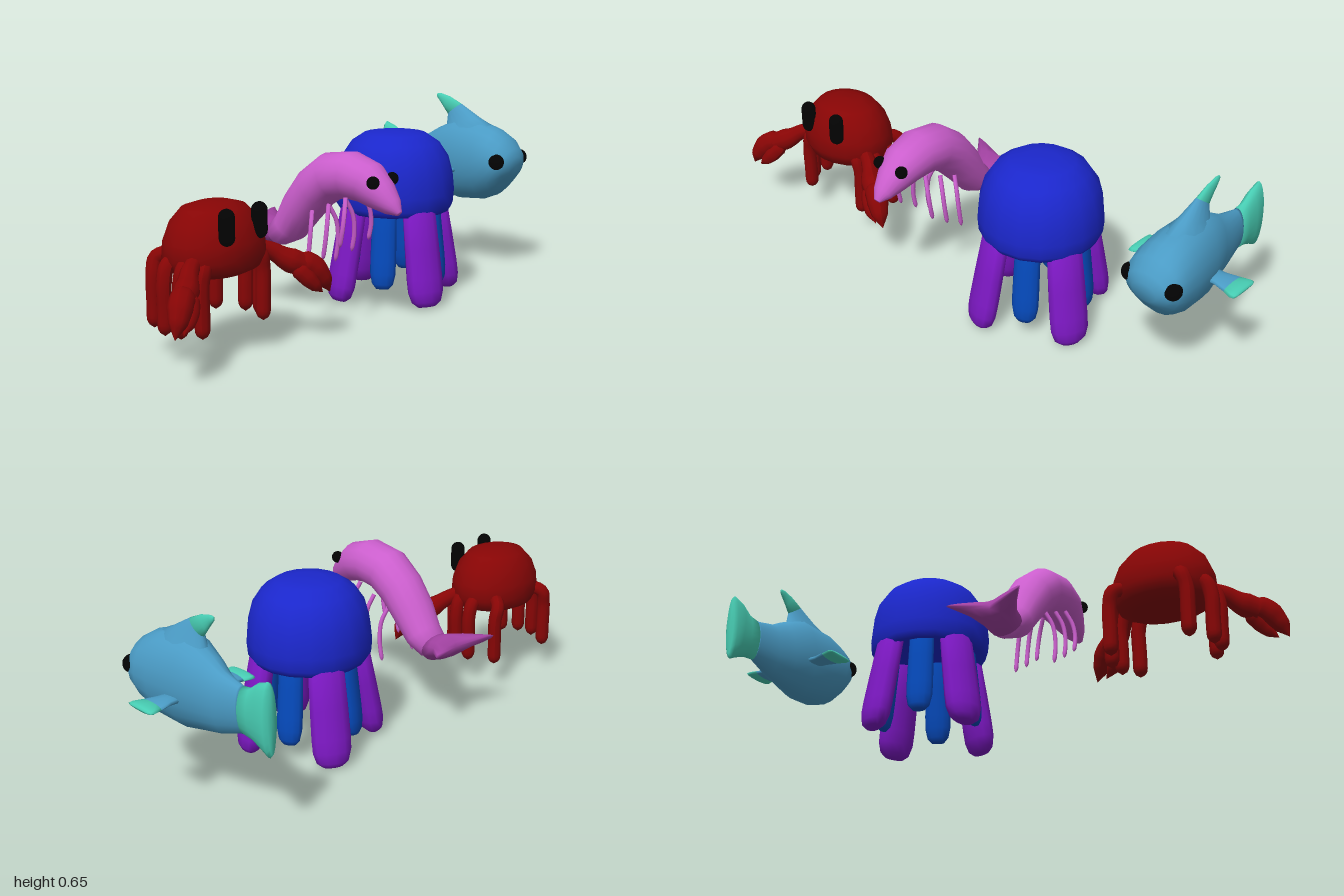
import * as THREE from 'three';

const mat = (name, color) => Object.assign(new THREE.MeshStandardMaterial({ color }), { name });
const red = mat('crab red', 0x870505), pink = mat('shrimp pink', 0xcb5ecd), plum = mat('shrimp tail plum', 0xa443a4);
const navy = mat('bell blue', 0x1b27cc), purple = mat('tentacle purple', 0x7d18c4), blue = mat('tentacle blue', 0x054abc);
const fishBlue = mat('fish blue', 0x4a9bc5), aqua = mat('fin aqua', 0x48ceb4), black = mat('eye black', 0x030303);

function add(parent, name, geo, material, x = 0, y = 0, z = 0) {
  const m = new THREE.Mesh(geo, material);
  m.name = name;
  m.position.set(x, y, z);
  parent.add(m);
  return m;
}

// Elliptical rings [y, z, halfWidth, halfDepth, lean] swept along a path in the yz plane.
// Rings stand square to the path unless a lean from the horizontal is given.
function loft(sections, n = 16) {
  const pos = [], idx = [], last = sections.length - 1;
  sections.forEach(([y, z, rx, rv, lean], i) => {
    const a = sections[Math.max(0, i - 1)], b = sections[Math.min(last, i + 1)];
    const tilt = lean ?? Math.atan2(a[1] - b[1], b[0] - a[0]);
    const uy = -Math.sin(tilt), uz = -Math.cos(tilt);
    for (let j = 0; j < n; j++) {
      const t = (j / n) * Math.PI * 2, s = Math.sin(t) * rv;
      pos.push(Math.cos(t) * rx, y + uy * s, z + uz * s);
      const k = (j + 1) % n, p = i * n;
      if (i < last) idx.push(p + j, p + k, p + n + j, p + k, p + n + k, p + n + j);
    }
  });
  // end caps
  const c = pos.length / 3, e = last * n;
  pos.push(0, sections[0][0], sections[0][1], 0, sections[last][0], sections[last][1]);
  for (let j = 0; j < n; j++) {
    const k = (j + 1) % n;
    idx.push(c, k, j, c + 1, e + j, e + k);
  }
  const g = new THREE.BufferGeometry();
  g.setAttribute('position', new THREE.Float32BufferAttribute(pos, 3));
  g.setIndex(idx);
  g.computeVertexNormals();
  return g;
}

// Curved limb whose thickness follows a list of radii
function limb(points, radii, segs = 16, sides = 10) {
  const curve = new THREE.CatmullRomCurve3(points.map(p => new THREE.Vector3(...p)));
  const g = new THREE.TubeGeometry(curve, segs, 1, sides, false);
  const p = g.attributes.position, v = new THREE.Vector3();
  for (let i = 0; i <= segs; i++) {
    const c = curve.getPointAt(i / segs), f = (i / segs) * (radii.length - 1);
    const k = Math.min(Math.floor(f), radii.length - 2);
    const r = THREE.MathUtils.lerp(radii[k], radii[k + 1], f - k);
    for (let j = 0; j <= sides; j++) {
      const q = i * (sides + 1) + j;
      v.fromBufferAttribute(p, q).sub(c).multiplyScalar(r).add(c);
      p.setXYZ(q, v.x, v.y, v.z);
    }
  }
  g.computeVertexNormals();
  return g;
}

// Even thickness with a rounded foot, one radius per ring of a 24-segment limb
const blunt = r => [...Array(22).fill(r), r * 0.95, r * 0.7, 0];
const lathe = (pts, n) => new THREE.LatheGeometry(pts.map(p => new THREE.Vector2(...p)), n);

function crab() {
  const g = new THREE.Group();
  g.name = 'crab';
  const shell = add(g, 'crabShell', lathe([[0, 0.26], [0.11, 0.262], [0.155, 0.28], [0.176, 0.32], [0.172, 0.37],
    [0.15, 0.425], [0.11, 0.467], [0.06, 0.481], [0, 0.484]], 20), red, 0, 0, 0.058);
  shell.scale.z = 0.82;
  for (const s of [1, -1]) {
    add(g, 'crabEye', new THREE.CapsuleGeometry(0.025, 0.064, 6, 14), black, s * 0.072, 0.428, 0.18);
    // walking legs
    for (const [x, z] of [[0.135, -0.07], [0.178, 0.02], [0.175, 0.085], [0.135, 0.135]]) {
      add(g, 'crabLeg', limb([[s * 0.09, 0.33, z * 0.6 + 0.02], [s * x * 0.9, 0.31, z], [s * x, 0.26, z],
        [s * x, 0.17, z], [s * x, 0.09, z]], blunt(0.024), 24), red);
    }
    // arm and two-pronged claw
    add(g, 'crabArm', limb([[s * 0.12, 0.33, 0.1], [s * 0.18, 0.305, 0.13], [s * 0.22, 0.275, 0.16], [s * 0.27, 0.25, 0.19]],
      [0.025, 0.026, 0.03, 0.04, 0.036]), red);
    add(g, 'crabOuterPincer', limb([[s * 0.23, 0.27, 0.17], [s * 0.285, 0.25, 0.2], [s * 0.32, 0.205, 0.222], [s * 0.345, 0.155, 0.232]],
      [0.014, 0.038, 0.038, 0.028, 0]), red);
    add(g, 'crabInnerPincer', limb([[s * 0.23, 0.265, 0.17], [s * 0.25, 0.23, 0.2], [s * 0.275, 0.195, 0.22], [s * 0.31, 0.16, 0.232]],
      [0.014, 0.03, 0.028, 0.02, 0]), red);
  }
  g.position.x = -0.655;
  return g;
}

function shrimp() {
  const g = new THREE.Group();
  g.name = 'shrimp';
  add(g, 'shrimpBody', loft([[0.272, -0.11, 0.06, 0.045], [0.305, -0.06, 0.068, 0.06], [0.375, -0.01, 0.077, 0.07],
    [0.445, 0.05, 0.08, 0.076], [0.495, 0.12, 0.083, 0.08], [0.507, 0.2, 0.083, 0.078], [0.49, 0.27, 0.075, 0.07],
    [0.457, 0.32, 0.056, 0.055], [0.425, 0.365, 0.035, 0.033], [0.405, 0.392, 0.012, 0.01]]), pink);
  // forked tail fan, notched in the middle
  const fan = loft([[0.317, -0.258, 0.142, 0.016], [0.302, -0.195, 0.092, 0.036], [0.284, -0.15, 0.066, 0.042], [0.272, -0.11, 0.06, 0.045]]);
  const p = fan.attributes.position;
  for (let i = 0; i < p.count; i++) {
    if (p.getZ(i) < -0.24) {
      const k = 1 - Math.abs(p.getX(i)) / 0.142;
      p.setZ(i, p.getZ(i) + 0.045 * k);
      p.setY(i, p.getY(i) - 0.015 * k);
    }
  }
  fan.computeVertexNormals();
  add(g, 'shrimpTail', fan, plum);
  for (const s of [1, -1]) {
    add(g, 'shrimpEye', new THREE.SphereGeometry(0.021, 16, 12), black, s * 0.05, 0.503, 0.325);
    [0.28, 0.23, 0.185].forEach((tip, k) => {
      const z = 0.21 - 0.07 * k, y = 0.44 - 0.03 * k;
      add(g, 'shrimpLeg', limb([[s * 0.045, y, z], [s * 0.066, y - 0.05, z + 0.012], [s * 0.075, (y + tip) / 2 - 0.02, z + 0.012],
        [s * 0.075, tip, z]], blunt(0.0075), 24, 8), pink);
    });
  }
  g.position.x = -0.16;
  return g;
}

function jellyfish() {
  const g = new THREE.Group();
  g.name = 'jellyfish';
  add(g, 'jellyfishBell', lathe([[0, 0.36], [0.12, 0.345], [0.17, 0.318], [0.192, 0.313], [0.206, 0.335], [0.21, 0.38],
    [0.204, 0.44], [0.188, 0.5], [0.155, 0.55], [0.11, 0.58], [0.055, 0.589], [0, 0.59]], 18), navy);
  const profile = [[0, 0], [0.5, 0.003], [0.82, 0.02], [0.98, 0.055], [1, 0.1], [0.97, 0.2], [0.9, 0.34], [0, 0.36]];
  const ring = (name, material, start, foot, y, wide, thick, tilt) => {
    for (let k = 0; k < 4; k++) {
      const arm = new THREE.Group();
      arm.name = name + 'Arm';
      arm.rotation.y = -(start + k * Math.PI / 2);
      const m = add(arm, name, lathe(profile, 12), material, foot, y, 0);
      m.scale.set(thick, 1, wide);
      m.rotation.z = tilt;
      g.add(arm);
    }
  };
  ring('outerTentacle', purple, 0.39, 0.224, 0.002, 0.068, 0.043, 0.18);
  ring('innerTentacle', blue, 0.39 + Math.PI / 4, 0.163, 0.054, 0.046, 0.029, 0.1);
  g.position.set(0.262, 0, 0.057);
  return g;
}

function fish() {
  const g = new THREE.Group();
  g.name = 'fish';
  add(g, 'fishBody', loft([[0.394, -0.27, 0.03, 0.077], [0.394, -0.265, 0.03, 0.077], [0.388, -0.18, 0.05, 0.102], [0.395, -0.115, 0.07, 0.125],
    [0.408, -0.03, 0.095, 0.153], [0.41, 0.08, 0.105, 0.146], [0.412, 0.14, 0.105, 0.124], [0.412, 0.175, 0.1, 0.098],
    [0.408, 0.203, 0.08, 0.062], [0.405, 0.219, 0.045, 0.035]], 20), fishBlue);
  add(g, 'tailFin', loft([[0.399, -0.396, 0.016, 0.108], [0.399, -0.385, 0.028, 0.121], [0.399, -0.35, 0.03, 0.106],
    [0.394, -0.31, 0.029, 0.083], [0.394, -0.27, 0.03, 0.077]], 20), aqua);
  // dorsal fin: body-coloured base and aqua tip swept backward
  const cut = [0.596, -0.06, 0.016, 0.0375, 0.64];
  add(g, 'dorsalFinBase', loft([[0.49, 0, 0.075, 0.12, 0], [0.53, 0, 0.055, 0.115, 0.1], [0.553, -0.02, 0.036, 0.075, 0.25], cut]), fishBlue);
  add(g, 'dorsalFinTip', loft([cut, [0.62, -0.0965, 0.011, 0.026, 1.02], [0.637, -0.1275, 0.008, 0.015, 1.4],
    [0.644, -0.142, 0.004, 0.007, 1.4]]), aqua);
  for (const s of [1, -1]) {
    // side fin lofted upright, then laid outward
    const fin = new THREE.Group();
    fin.name = 'sideFin';
    add(fin, 'sideFinBase', loft([[0.07, -0.026, 0.013, 0.036, 0], [0.11, -0.026, 0.012, 0.036, 0], [0.155, -0.025, 0.011, 0.05, 0]], 12), fishBlue);
    add(fin, 'sideFinTip', loft([[0.155, -0.025, 0.011, 0.05, 0], [0.185, -0.023, 0.011, 0.061, 0], [0.196, -0.022, 0.008, 0.058, 0],
      [0.2, -0.022, 0.003, 0.045, 0]], 12), aqua);
    fin.rotation.z = -s * Math.PI / 2;
    fin.position.y = 0.378;
    g.add(fin);
    add(g, 'fishEye', new THREE.SphereGeometry(0.03, 18, 14), black, s * 0.078, 0.426, 0.182);
  }
  g.position.x = 0.8;
  return g;
}

export function createModel() {
  const model = new THREE.Group();
  model.name = 'seaCreatures';
  model.add(crab(), shrimp(), jellyfish(), fish());
  return model;
}
